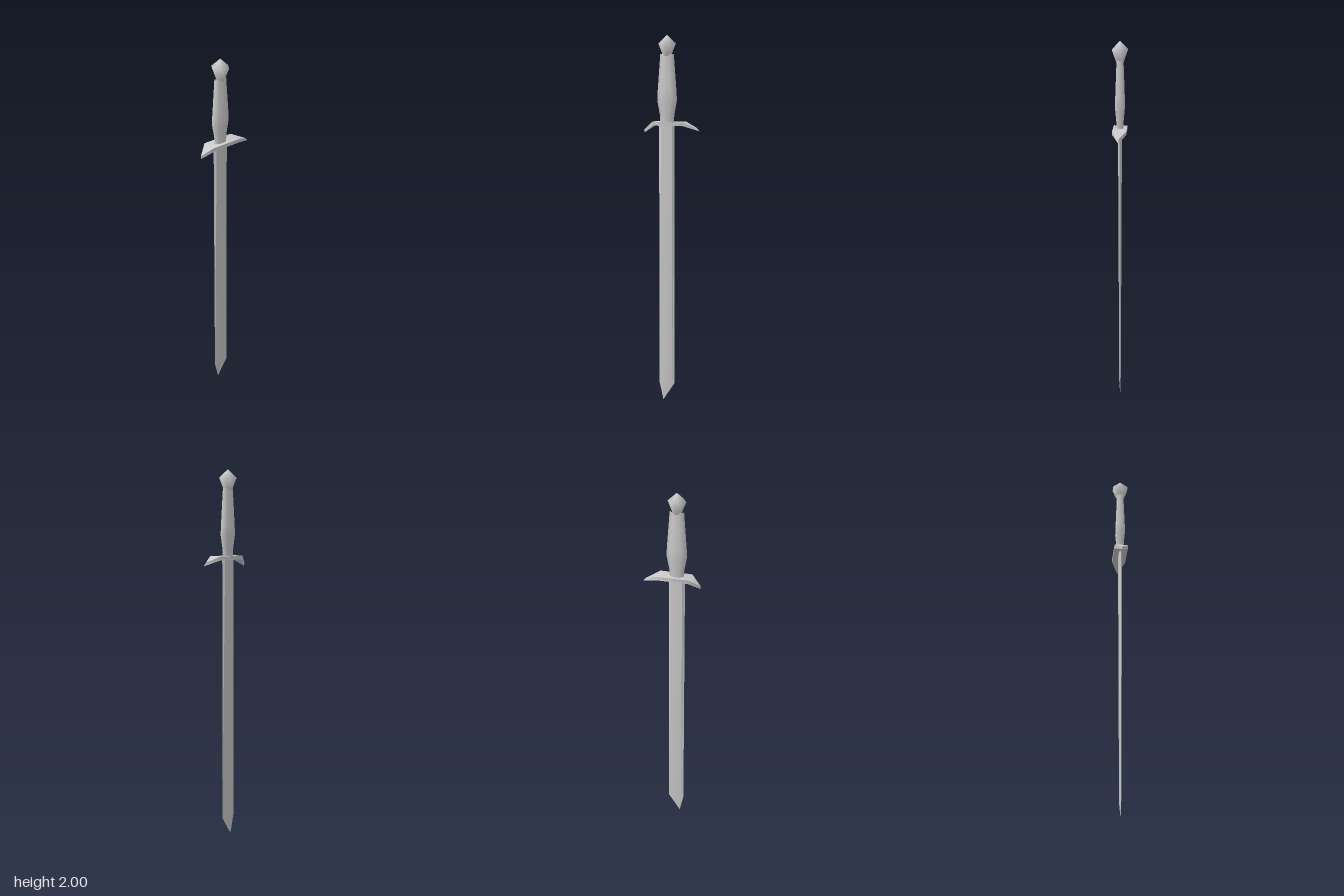
import * as THREE from 'three';
import { toCreasedNormals } from 'three/addons/utils/BufferGeometryUtils.js';

const material = new THREE.MeshStandardMaterial({ color: 0xcccccc });
const CENTER_Z = 0.026;

// Skins a list of equal-length rings (counter-clockwise seen from the end) and caps both ends.
function loft(rings, crease) {
  const positions = [];
  const triangle = (a, b, c) => {
    const t = new THREE.Triangle(
      new THREE.Vector3(...a), new THREE.Vector3(...b), new THREE.Vector3(...c));
    if (t.getArea() > 1e-9) positions.push(...a, ...b, ...c);
  };
  const n = rings[0].length;
  for (let i = 0; i < rings.length - 1; i++) {
    for (let j = 0; j < n; j++) {
      const k = (j + 1) % n;
      triangle(rings[i][j], rings[i][k], rings[i + 1][k]);
      triangle(rings[i][j], rings[i + 1][k], rings[i + 1][j]);
    }
  }
  const first = rings[0], last = rings[rings.length - 1];
  for (let j = 1; j < n - 1; j++) {
    triangle(first[0], first[j + 1], first[j]);
    triangle(last[0], last[j], last[j + 1]);
  }
  const geometry = new THREE.BufferGeometry();
  geometry.setAttribute('position', new THREE.Float32BufferAttribute(positions, 3));
  return toCreasedNormals(geometry, crease);
}

// Six-sided turned part with its ridges facing front and back.
function hexLathe(profile, widthScale) {
  const points = profile.map(([r, y]) => new THREE.Vector2(r, y));
  const geometry = new THREE.LatheGeometry(points, 6);
  geometry.scale(widthScale, 1, 1);
  geometry.translate(0, 0, CENTER_Z);
  return geometry;
}

// Blade cross-section: a flat hexagon with bevelled edges.
function bladeRing(y, front, back, bevel, t) {
  return [
    [0, y, front], [t, y, front - bevel], [t, y, back + bevel],
    [0, y, back], [-t, y, back + bevel], [-t, y, front - bevel],
  ];
}

// Guard cross-section: top and bottom edges may sit at different z.
function guardRing(w, top, zTop, bottom, zBottom) {
  return [[w, top, zTop], [-w, top, zTop], [-w, bottom, zBottom], [w, bottom, zBottom]];
}

export function createModel() {
  const group = new THREE.Group();
  const add = (name, geometry) => {
    const mesh = new THREE.Mesh(geometry, material);
    mesh.name = name;
    group.add(mesh);
  };

  // Blade, thinning towards an off-centre point
  add('blade', loft([
    bladeRing(0, 0.048, 0.048, 0, 0),
    bladeRing(0.1, 0.07, -0.016, 0.013, 0.003),
    bladeRing(1.53, 0.07, -0.016, 0.013, 0.009),
  ], 0.3));

  // Crossguard with drooping pointed arms
  add('guard', loft([
    guardRing(0, 1.513, -0.136, 1.494, -0.153),
    guardRing(0.037, 1.543, -0.07, 1.523, -0.067),
    guardRing(0.037, 1.543, 0.1, 1.523, 0.093),
    guardRing(0, 1.5, 0.153, 1.484, 0.151),
  ], 0.7));

  // Grip, swelling near the guard
  add('grip', hexLathe([
    [0.037, 1.53], [0.04, 1.58], [0.054, 1.655], [0.052, 1.7], [0.037, 1.9],
  ], 0.54));

  // Faceted pommel
  add('pommel', hexLathe([[0.022, 1.89], [0.048, 1.955], [0, 2]], 1));

  return group;
}
